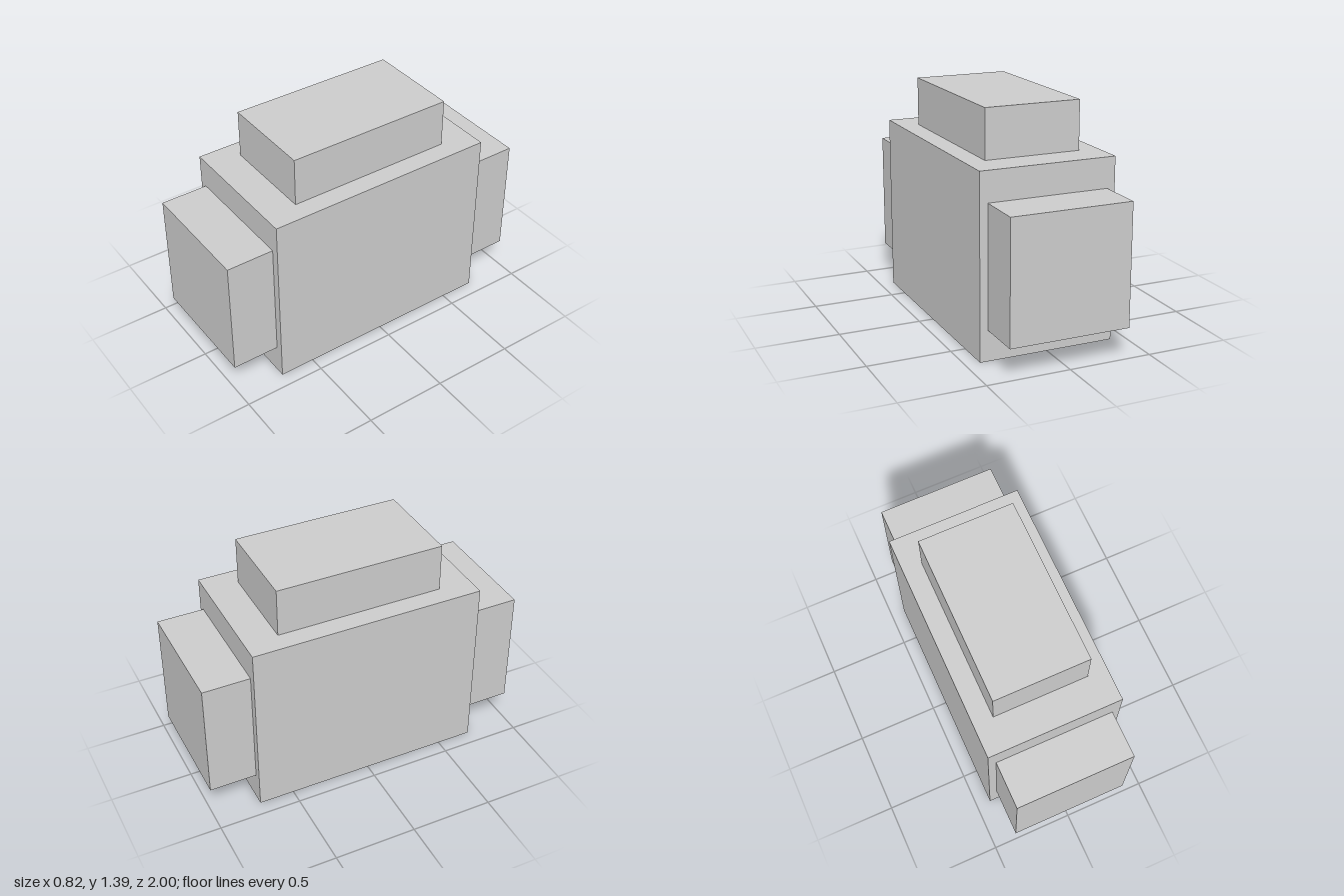
import * as THREE from 'three';

const material = new THREE.MeshStandardMaterial({ color: 0xcccccc, flatShading: true });

// Box from its full width, its y range and its z range
function block(name, width, [y0, y1], [z0, z1]) {
  const mesh = new THREE.Mesh(new THREE.BoxGeometry(width, y1 - y0, z1 - z0), material);
  mesh.position.set(0, (y0 + y1) / 2, (z0 + z1) / 2);
  mesh.name = name;
  return mesh;
}

export function createModel() {
  const group = new THREE.Group();
  group.name = 'steppedBlock';

  const bodyTop = 1.093;
  const bodyEnd = 0.714;

  // Main body and the smaller block on its top
  group.add(block('body', 0.824, [0, bodyTop], [-bodyEnd, bodyEnd]));
  group.add(block('topBlock', 0.582, [bodyTop, 1.387], [-0.512, 0.512]));

  // Matching blocks on the front and back ends
  group.add(block('frontBlock', 0.728, [0.183, 0.912], [bodyEnd, 1]));
  group.add(block('backBlock', 0.728, [0.183, 0.912], [-1, -bodyEnd]));

  return group;
}
